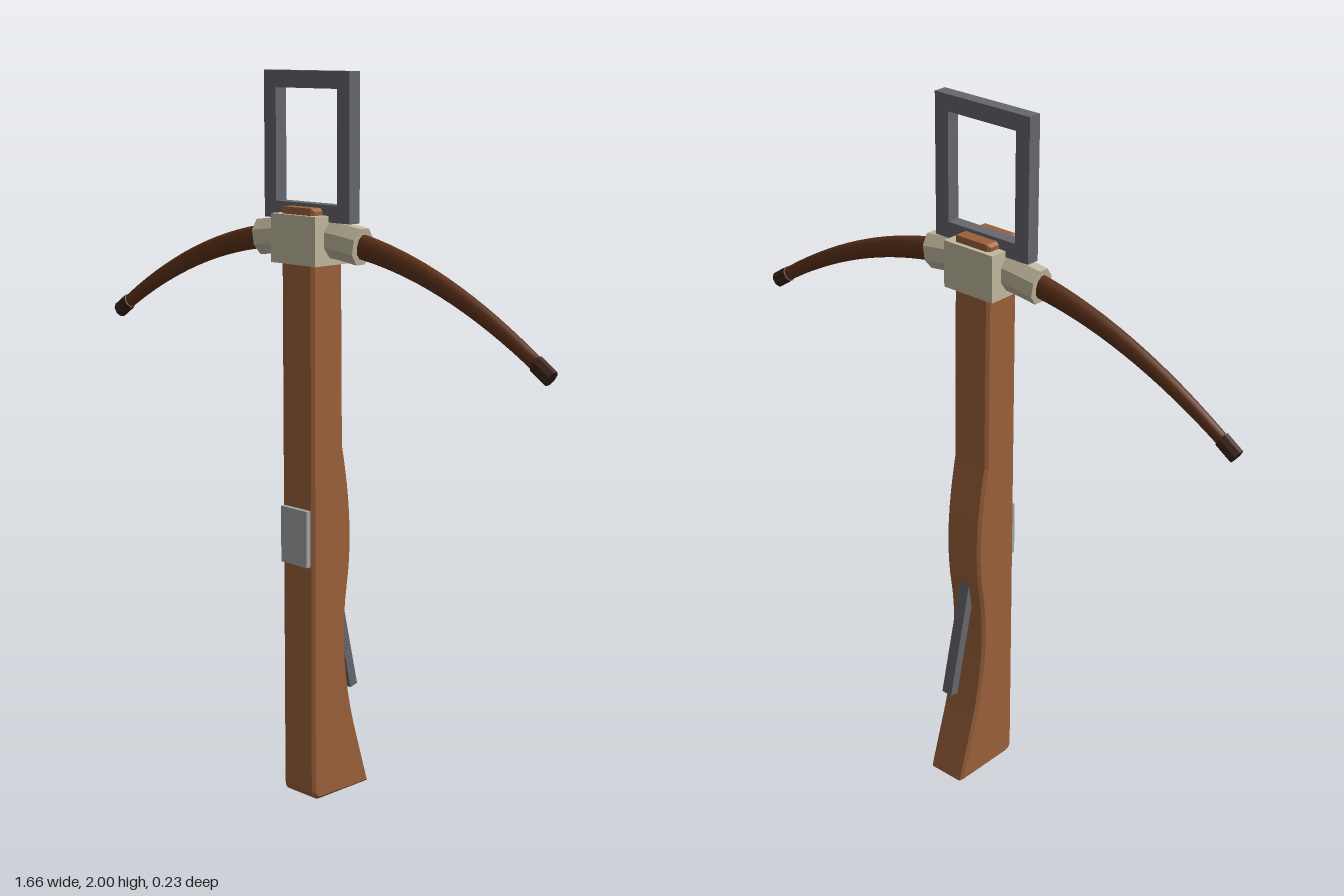
import * as THREE from 'three';

const mat = (name, color, extra = {}) => {
  const m = new THREE.MeshStandardMaterial({ color, ...extra });
  m.name = name;
  return m;
};

// Centre line and slope of the bow, both arms
const bowY = x => 1.57 - 0.42 * x * x;
const bowSlope = x => -0.84 * x;
const BOW_Z = 0.052;

// Elliptical sweep along the bow from x0 to x1; size(x) gives [half height, half depth]
function sweepBow(x0, x1, steps, sides, size) {
  const pos = [], idx = [];
  for (let i = 0; i <= steps; i++) {
    const x = x0 + (x1 - x0) * i / steps;
    const s = bowSlope(x), l = Math.hypot(1, s);
    const [h, d] = size(x);
    for (let j = 0; j < sides; j++) {
      const a = (j + 0.5) / sides * Math.PI * 2;
      const c = Math.cos(a) * h;
      pos.push(x - s / l * c, bowY(x) + c / l, BOW_Z + Math.sin(a) * d);
    }
  }
  for (let i = 0; i < steps; i++) for (let j = 0; j < sides; j++) {
    const a = i * sides + j, b = i * sides + (j + 1) % sides;
    idx.push(a, b, a + sides, b, b + sides, a + sides);
  }
  // End caps
  const e = steps * sides;
  for (let j = 1; j < sides - 1; j++) idx.push(0, j + 1, j, e, e + j, e + j + 1);
  const g = new THREE.BufferGeometry();
  g.setAttribute('position', new THREE.Float32BufferAttribute(pos, 3));
  g.setIndex(idx);
  g.computeVertexNormals();
  return g;
}

export function createModel() {
  const group = new THREE.Group();
  const wood = mat('stock wood', 0x9a603a);
  const bowWood = mat('dark bow wood', 0x5e3219);
  const tipMat = mat('bow tip brown', 0x3b2218, { flatShading: true });
  const binding = mat('cream binding', 0xc2b99f, { flatShading: true });
  const iron = mat('iron', 0x66666e);
  const steel = mat('light steel', 0xa0a4a8);

  const add = (name, geo, material, x = 0, y = 0, z = 0) => {
    const m = new THREE.Mesh(geo, material);
    m.name = name;
    m.position.set(x, y, z);
    group.add(m);
    return m;
  };

  // Stock: side profile (z, y) extruded across x
  const p = new THREE.Shape();
  p.moveTo(0.075, 0.005);
  p.quadraticCurveTo(0.105, 0.005, 0.105, 0.04);
  p.lineTo(0.107, 1.648);
  p.lineTo(-0.005, 1.648);
  p.lineTo(-0.011, 1.0);
  p.bezierCurveTo(-0.036, 0.88, -0.055, 0.74, -0.03, 0.6);
  p.bezierCurveTo(-0.014, 0.5, -0.012, 0.36, -0.06, 0.19);
  p.lineTo(-0.115, 0.005);
  const stock = new THREE.ExtrudeGeometry(p, {
    depth: 0.106, curveSegments: 10, bevelEnabled: true,
    bevelThickness: 0.008, bevelSize: 0.008, bevelOffset: -0.008, bevelSegments: 1,
  });
  stock.translate(0, 0, -0.053).rotateY(-Math.PI / 2);
  add('stock', stock, wood);

  // Bow arms, thinning towards the tips
  add('bow', sweepBow(-0.79, 0.79, 40, 10, x => {
    const t = Math.abs(x) / 0.8;
    return [0.038 - 0.019 * t, 0.024 - 0.011 * t];
  }), bowWood);

  // Bow tips and bindings on both sides
  for (const s of [-1, 1]) {
    const side = s > 0 ? 'left' : 'right';
    const range = (a, b) => s > 0 ? [a, b] : [-b, -a];
    add(side + 'BowTip', sweepBow(...range(0.77, 0.818), 1, 8, () => [0.023, 0.018]), tipMat);
    add(side + 'BowBinding', sweepBow(...range(0.05, 0.19), 2, 8, () => [0.052, 0.039]), binding);
  }
  add('bindingBlock', new THREE.BoxGeometry(0.168, 0.13, 0.138), binding, 0, 1.564, 0.051);

  // Stirrup frame
  const rect = (S, x, y0, y1) => {
    const r = new S();
    r.moveTo(-x, y0); r.lineTo(x, y0); r.lineTo(x, y1); r.lineTo(-x, y1); r.closePath();
    return r;
  };
  const frame = rect(THREE.Shape, 0.16, 1.612, 2);
  frame.holes.push(rect(THREE.Path, 0.115, 1.657, 1.955));
  add('stirrup', new THREE.ExtrudeGeometry(frame, { depth: 0.038, bevelEnabled: false }), iron, 0, 0, 0.033);

  // String catch on the front and trigger lever on the back
  add('stringCatch', new THREE.BoxGeometry(0.1, 0.157, 0.04), steel, 0, 0.758, 0.1);
  const trigger = add('triggerLever', new THREE.BoxGeometry(0.034, 0.36, 0.027), iron, 0, 0.461, -0.057);
  trigger.rotation.x = 0.225;

  return group;
}
